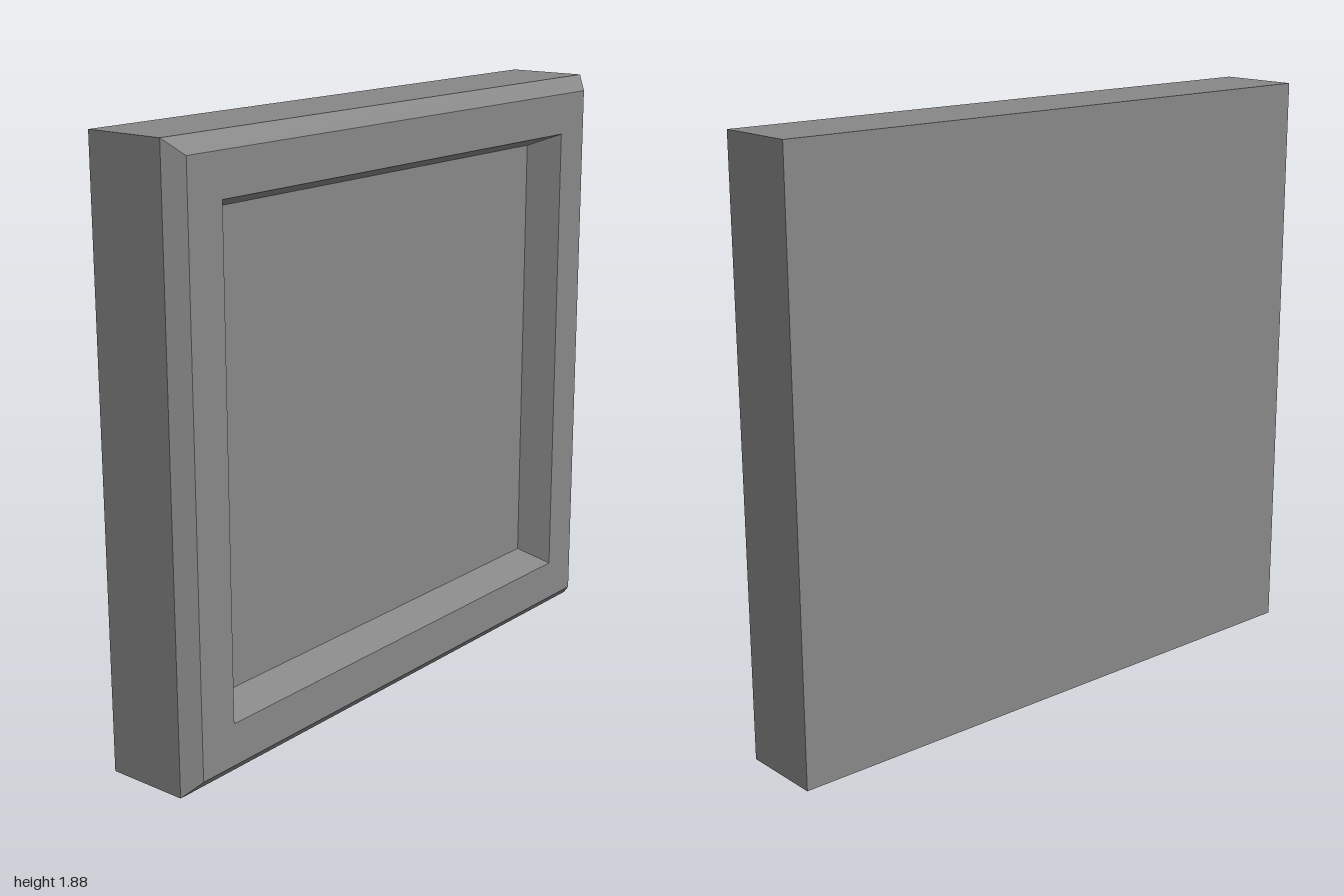
import * as THREE from 'three';

const HALF_W = 1, HALF_H = 0.94, DEPTH = 0.157;

// Rectangle corners, counter-clockwise from the front, inset from the outer edge
function rectangle(inset, z) {
  const w = HALF_W - inset, h = HALF_H - inset;
  return [[-w, -h, z], [w, -h, z], [w, h, z], [-w, h, z]];
}

// Joins successive rectangles with flat, mitred bands
function mitredBands(profile) {
  const positions = [];
  for (let i = 0; i < profile.length - 1; i++) {
    const a = rectangle(...profile[i]);
    const b = rectangle(...profile[i + 1]);
    for (let k = 0; k < 4; k++) {
      const n = (k + 1) % 4;
      positions.push(...a[k], ...a[n], ...b[n], ...a[k], ...b[n], ...b[k]);
    }
  }
  const geometry = new THREE.BufferGeometry();
  geometry.setAttribute('position', new THREE.Float32BufferAttribute(positions, 3));
  geometry.computeVertexNormals();
  return geometry;
}

export function createModel() {
  const group = new THREE.Group();
  group.name = 'framedPanel';
  const material = new THREE.MeshStandardMaterial({ color: 0x878787, flatShading: true });

  const add = (name, geometry, z = 0) => {
    const mesh = new THREE.Mesh(geometry, material);
    mesh.name = name;
    mesh.position.set(0, HALF_H, z);
    group.add(mesh);
    return mesh;
  };

  // Frame profile as [inset, z]: side wall, outer chamfer, flat face, sloped inner edge
  add('frame', mitredBands([
    [0, -DEPTH], [0, 0.11], [0.047, DEPTH], [0.179, DEPTH], [0.221, 0.05],
  ]));

  // Recessed front panel
  add('panel', new THREE.PlaneGeometry(2 * (HALF_W - 0.221), 2 * (HALF_H - 0.221)), 0.05);

  // Flat back
  add('back', new THREE.PlaneGeometry(2 * HALF_W, 2 * HALF_H), -DEPTH).rotation.y = Math.PI;

  return group;
}
